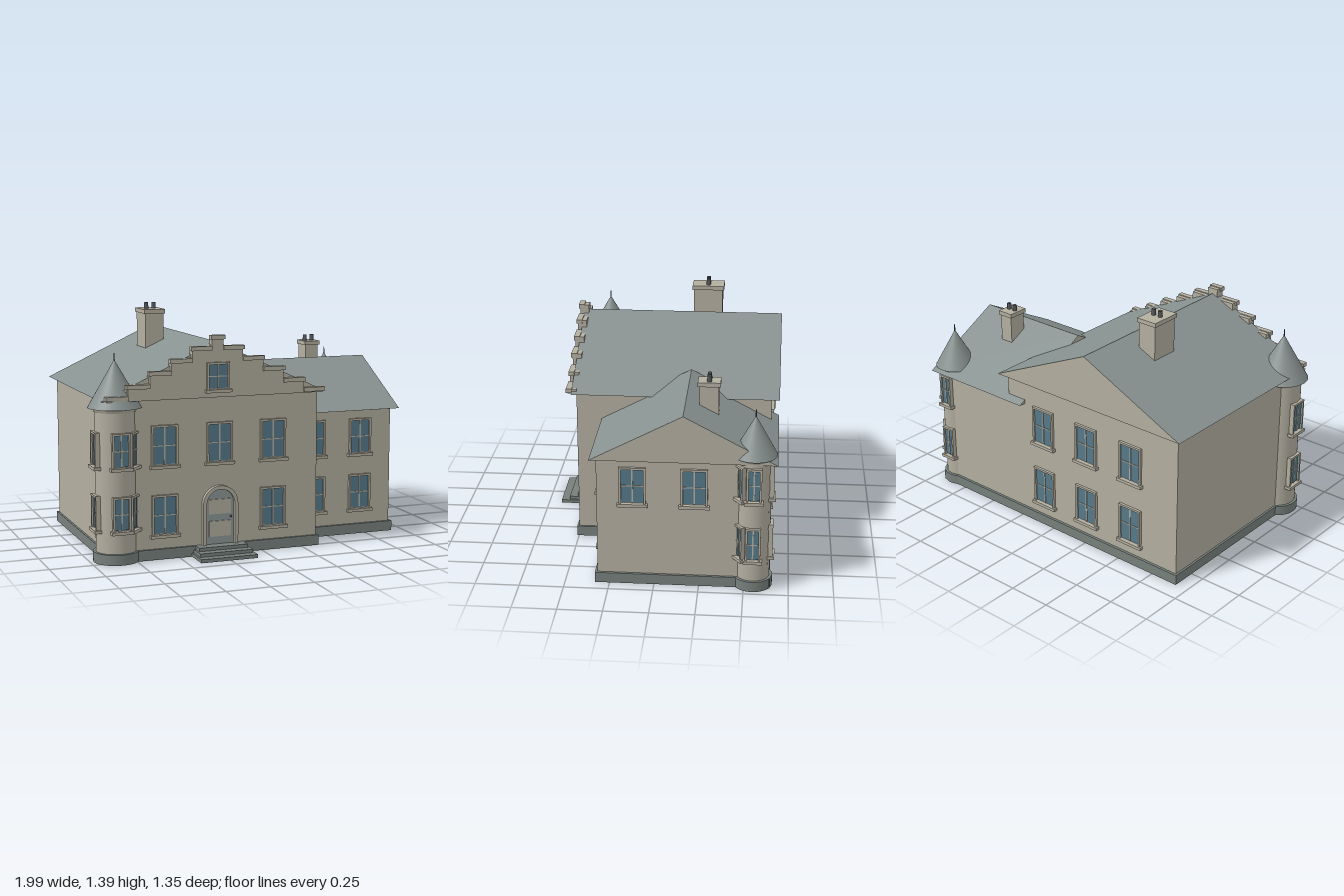
import * as THREE from 'three';

const mat = (name, color) => Object.assign(new THREE.MeshStandardMaterial({ color }), { name });

export function createModel() {
  const model = new THREE.Group();
  const stone = mat('stone', 0xb3aea0);
  const slate = mat('slate', 0x87918f);
  const plinth = mat('plinth', 0x77807c);
  const glass = mat('glass', 0x55798a);
  const doorGrey = mat('door grey', 0x8a9696);
  const metal = mat('dark metal', 0x55595a);

  const add = (name, geo, material, x = 0, y = 0, z = 0, parent = model) => {
    const m = new THREE.Mesh(geo, material);
    m.name = name;
    m.position.set(x, y, z);
    parent.add(m);
    return m;
  };
  // Box given by its extents
  const block = (name, x0, x1, y0, y1, z0, z1, material, parent = model) =>
    add(name, new THREE.BoxGeometry(x1 - x0, y1 - y0, z1 - z0), material,
      (x0 + x1) / 2, (y0 + y1) / 2, (z0 + z1) / 2, parent);
  const extrude = (shape, depth) =>
    new THREE.ExtrudeGeometry(shape, { depth, bevelEnabled: false, curveSegments: 16 });

  // Walls and plinths
  block('mainWalls', -0.91, 0.345, 0, 0.915, -0.63, 0.497, stone);
  block('wingWalls', 0.3, 0.912, 0, 0.76, -0.63, 0.317, stone);
  block('mainPlinth', -0.922, 0.357, 0, 0.06, -0.645, 0.51, plinth);
  block('wingPlinth', 0.3, 0.927, 0, 0.06, -0.645, 0.332, plinth);

  // Pitched roofs: triangular prisms with stone gable ends
  const prism = (halfWidth, height, depth) => extrude(new THREE.Shape([
    new THREE.Vector2(-halfWidth, 0), new THREE.Vector2(halfWidth, 0), new THREE.Vector2(0, height),
  ]), depth);
  add('mainRoof', prism(0.667, 0.308, 1.2), [stone, slate], -0.283, 0.912, -0.675);
  const wingRoof = add('wingRoof', prism(0.513, 0.27, 0.74), [stone, slate], 0.215, 0.756, -0.161);
  wingRoof.rotation.y = Math.PI / 2;

  // Crow-stepped front gable: [half width, top height] for each step
  const steps = [[0.65, 0.94], [0.53, 1.0], [0.405, 1.07], [0.28, 1.134], [0.157, 1.198], [0.042, 1.258]];
  const gx = -0.283;
  const right = [], left = [];
  let low = 0.91;
  for (const [w, top] of steps) {
    right.push(new THREE.Vector2(w - 0.008, low), new THREE.Vector2(w - 0.008, top - 0.005));
    left.unshift(new THREE.Vector2(-w + 0.008, top - 0.005), new THREE.Vector2(-w + 0.008, low));
    low = top - 0.005;
  }
  add('steppedGable', extrude(new THREE.Shape([...right, ...left]), 0.053), stone, gx, 0, 0.495);
  steps.forEach(([w, top], i) => {
    const inner = i < steps.length - 1 ? steps[i + 1][0] - 0.008 : 0;
    for (const s of [-1, 1]) {
      const a = gx + s * inner, b = gx + s * w;
      block('gableCoping', Math.min(a, b), Math.max(a, b), top - 0.024, top, 0.522, 0.556, stone);
    }
  });

  // Two-over-two sash window, local z = 0 on the wall surface
  function windowAt(x, y, z, w, h, angle = 0) {
    const g = new THREE.Group();
    g.name = 'window';
    g.position.set(x, y, z);
    g.rotation.y = angle;
    const f = 0.012, a = w / 2, back = -0.015;
    block('pane', -a + f, a - f, f, h - f, 0, 0.005, glass, g);
    for (const s of [-1, 1]) {
      const c = s * (a - f / 2);
      block('frameSide', c - f / 2, c + f / 2, 0, h, back, 0.015, stone, g);
    }
    block('frameTop', -a, a, h - f, h, back, 0.015, stone, g);
    block('sill', -a - 0.01, a + 0.01, -0.012, 0.006, back, 0.025, stone, g);
    block('verticalBar', -0.004, 0.004, f, h - f, 0, 0.009, stone, g);
    block('crossBar', -a + f, a - f, h / 2 - 0.003, h / 2 + 0.003, 0, 0.008, stone, g);
    model.add(g);
  }
  for (const x of [-0.583, -0.257, 0.07]) {
    for (const y of [0.135, 0.53]) {
      if (x !== -0.257 || y > 0.5) windowAt(x, y, 0.497, 0.155, 0.233);
      windowAt(x, y, -0.63, 0.155, 0.233, Math.PI);
    }
  }
  for (const x of [0.41, 0.71]) for (const y of [0.147, 0.487]) windowAt(x, y, 0.317, 0.142, 0.217);
  for (const z of [0.118, -0.222]) windowAt(0.912, 0.485, z, 0.148, 0.22, Math.PI / 2);
  windowAt(gx, 0.95, 0.548, 0.135, 0.157);

  // Round corner turrets with conical roofs
  function turret(x, z, r, eave, coneR, coneH, angles) {
    add('turretWall', new THREE.CylinderGeometry(r, r, eave, 40), stone, x, eave / 2, z);
    add('turretPlinth', new THREE.CylinderGeometry(r + 0.016, r + 0.016, 0.06, 40), plinth, x, 0.03, z);
    add('turretCornice', new THREE.CylinderGeometry(r + 0.012, r + 0.004, 0.02, 40), stone, x, eave - 0.01, z);
    add('turretRoof', new THREE.ConeGeometry(coneR, coneH, 40), slate, x, eave + coneH / 2, z);
    add('finial', new THREE.CylinderGeometry(0.002, 0.005, 0.06, 8), metal, x, eave + coneH + 0.005, z);
    for (const deg of angles) {
      const t = deg * Math.PI / 180;
      for (const y of [0.185, 0.54]) {
        windowAt(x + Math.sin(t) * r, y, z + Math.cos(t) * r, r * 0.9, 0.198, t);
      }
    }
  }
  turret(-0.848, 0.432, 0.115, 0.868, 0.152, 0.265, [-90, 0, 48]);
  turret(0.866, -0.548, 0.094, 0.785, 0.124, 0.225, [35, 90, 180]);

  // Chimneys with paired pots
  function chimney(x, z, w, d, bottom, top) {
    block('chimneyStack', x - w / 2, x + w / 2, bottom, top - 0.02, z - d / 2, z + d / 2, stone);
    block('chimneyCap', x - w / 2 - 0.009, x + w / 2 + 0.009, top - 0.025, top, z - d / 2 - 0.009, z + d / 2 + 0.009, stone);
    for (const s of [-1, 1]) {
      add('chimneyPot', new THREE.CylinderGeometry(0.012, 0.013, 0.036, 16), metal, x + s * 0.023, top + 0.018, z);
    }
  }
  chimney(-0.432, -0.224, 0.112, 0.174, 1.05, 1.355);
  chimney(0.635, -0.286, 0.082, 0.108, 0.85, 1.12);

  // Arched entrance
  const dx = -0.257;
  const arch = (Kind, r, y0, spring) => {
    const p = new Kind();
    p.moveTo(-r, y0);
    p.lineTo(r, y0);
    p.lineTo(r, spring);
    p.absarc(0, spring, r, 0, Math.PI, false);
    p.closePath();
    return p;
  };
  const surround = arch(THREE.Shape, 0.105, 0.06, 0.295);
  surround.holes.push(arch(THREE.Path, 0.084, 0.06, 0.295));
  add('doorSurround', extrude(surround, 0.035), stone, dx, 0, 0.49);
  add('door', extrude(arch(THREE.Shape, 0.085, 0.06, 0.295), 0.015), doorGrey, dx, 0, 0.49);
  block('lowerDoorPanel', dx - 0.066, dx + 0.066, 0.105, 0.195, 0.504, 0.511, stone);
  block('upperDoorPanel', dx - 0.066, dx + 0.066, 0.235, 0.32, 0.504, 0.511, stone);
  add('doorKnob', new THREE.SphereGeometry(0.007, 12, 8), metal, dx + 0.066, 0.217, 0.512);

  // Entrance steps
  for (let i = 0; i < 3; i++) {
    const half = 0.17 - i * 0.012;
    block('entranceStep', dx - half, dx + half, i * 0.02, (i + 1) * 0.02, 0.48, 0.67 - i * 0.05, plinth);
  }
  return model;
}
